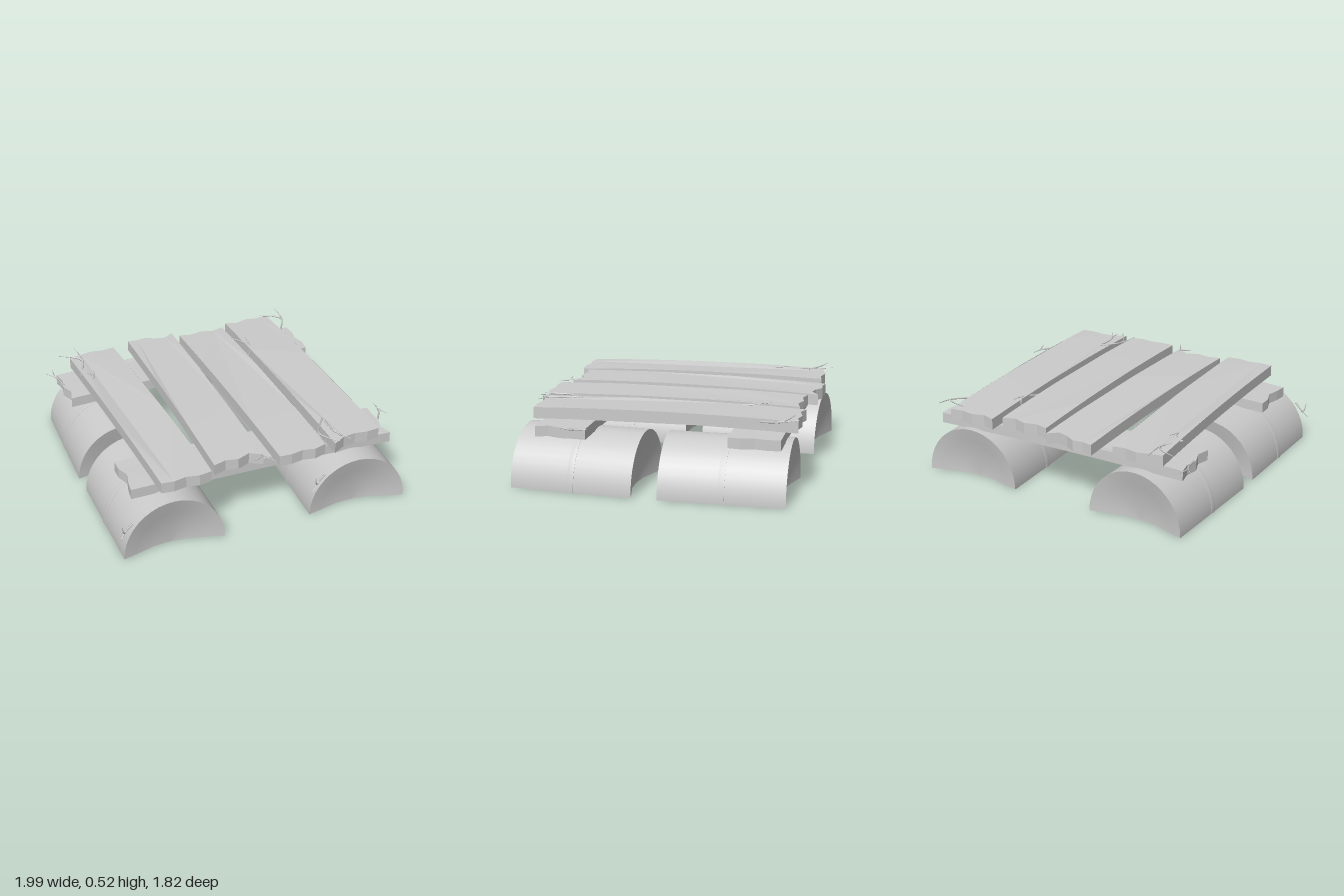
import * as THREE from 'three';

const wood = new THREE.MeshStandardMaterial({ color: 0xcccccc });
const thin = new THREE.MeshStandardMaterial({ color: 0xcccccc, side: THREE.DoubleSide });

function add(parent, geometry, name, material = wood) {
  const mesh = new THREE.Mesh(geometry, material);
  mesh.name = name;
  parent.add(mesh);
  return mesh;
}

// Half barrel lying along z: open underneath, with dished ends
function halfBarrel(parent, x, z, yaw) {
  const g = new THREE.Group();
  g.name = 'halfBarrel';
  const half = 0.4, r = 0.333;
  const turned = (profile, name) => {
    const geo = new THREE.LatheGeometry(
      profile.map(([a, b]) => new THREE.Vector2(a, b)), 20, Math.PI / 2, Math.PI);
    geo.rotateX(Math.PI / 2);
    geo.scale(1, 1.05, 1);
    add(g, geo, name, thin);
  };
  turned([[r, -half], [r, half]], 'barrelShell');
  turned([[r, -0.02], [r + 0.004, -0.02], [r + 0.004, 0.02], [r, 0.02]], 'barrelBand');
  for (const s of [-1, 1]) {
    turned([[0, s * (half - 0.07)], [0.12, s * (half - 0.06)],
      [0.24, s * (half - 0.025)], [r, s * half]], 'barrelEnd');
  }
  g.position.set(x, 0, z);
  g.rotation.y = yaw;
  parent.add(g);
}

// Splits a straight edge into equal steps, pushing the inner points in z by the jags
function edge(x0, z0, x1, z1, jags) {
  const n = jags.length + 1;
  return Array.from({ length: n + 1 }, (_, i) => new THREE.Vector2(
    x0 + (x1 - x0) * i / n,
    -(z0 + (z1 - z0) * i / n + (jags[i - 1] ?? 0))));
}

// Board along z with broken ends; each end is { x0, x1, z0, z1, jags } in a row
function board(parent, back, front, y0, y1, bow, name) {
  const [bx0, bz0, bx1, bz1] = back.line, [fx0, fz0, fx1, fz1] = front.line;
  const straight = new Array(7).fill(0);
  const outline = [
    ...edge(...back.line, back.jags),
    ...edge(bx1, bz1, fx1, fz1, straight).slice(1, -1),
    ...edge(...front.line, front.jags).reverse(),
    ...edge(fx0, fz0, bx0, bz0, straight).slice(1, -1),
  ];
  const geo = new THREE.ExtrudeGeometry(new THREE.Shape(outline),
    { depth: y1 - y0, bevelEnabled: false });
  geo.rotateX(-Math.PI / 2);
  // arch the board gently along its length
  const p = geo.attributes.position;
  for (let i = 0; i < p.count; i++) {
    p.setY(i, p.getY(i) + y0 - bow * (p.getZ(i) / 0.87) ** 2);
  }
  geo.computeVertexNormals();
  return add(parent, geo, name);
}

// Tapering tube through a curve
function sprig(parent, curve) {
  const n = 10, sides = 5;
  const geo = new THREE.TubeGeometry(curve, n, 0.007, sides);
  const p = geo.attributes.position, v = new THREE.Vector3();
  for (let i = 0; i < p.count; i++) {
    const t = Math.floor(i / (sides + 1)) / n;
    const c = curve.getPointAt(t);
    v.fromBufferAttribute(p, i).sub(c).multiplyScalar(1 - 0.75 * t).add(c);
    p.setXYZ(i, v.x, v.y, v.z);
  }
  geo.computeVertexNormals();
  add(parent, geo, 'sprig', thin);
}

// Twig from base to tip that sways sideways, with one side shoot to the fork point
function twig(parent, base, tip, fork) {
  const g = new THREE.Group();
  g.name = 'twig';
  const a = new THREE.Vector3(...base), b = new THREE.Vector3(...tip);
  const mid = a.clone().lerp(b, 0.5);
  mid.x -= (b.z - a.z) * 0.12;
  mid.z += (b.x - a.x) * 0.12;
  sprig(g, new THREE.CatmullRomCurve3([a, mid, b]));
  const f = new THREE.Vector3(...fork);
  sprig(g, new THREE.QuadraticBezierCurve3(mid, mid.clone().lerp(b, 0.35), f));
  parent.add(g);
}

export function createModel() {
  const model = new THREE.Group();
  model.name = 'raft';

  // Floats
  halfBarrel(model, -0.63, 0.49, 0);
  halfBarrel(model, 0.64, 0.495, -0.037);
  halfBarrel(model, -0.622, -0.44, -0.035);
  halfBarrel(model, 0.637, -0.447, 0.037);

  // Cross beams, shaped along z then turned to run along x
  const beam = (back, front) => {
    board(model, back, front, 0.347, 0.415, 0.012, 'crossBeam').rotation.y = Math.PI / 2;
  };
  beam({ line: [-0.75, -0.86, -0.42, -0.86], jags: [0.01, 0.03, 0] },
    { line: [-0.75, 0.915, -0.42, 0.915], jags: [-0.025, 0, -0.005] });
  beam({ line: [0.42, -0.89, 0.76, -0.9], jags: [0.025, -0.005, 0.015] },
    { line: [0.48, 0.88, 0.81, 0.875], jags: [0.01, -0.01, 0.005] });

  // Deck planks
  const plank = (back, front) => board(model, back, front, 0.435, 0.508, 0.018, 'deckPlank');
  plank({ line: [-0.785, -0.8, -0.455, -0.84], jags: [-0.01, -0.02, 0.005] },
    { line: [-0.705, 0.87, -0.375, 0.86], jags: [0.01, -0.005, 0.012] });
  plank({ line: [-0.33, -0.89, 0, -0.89], jags: [0.01, 0, 0.035, 0.05] },
    { line: [-0.335, 0.81, -0.005, 0.81], jags: [-0.025, -0.01, -0.045] });
  plank({ line: [0.04, -0.83, 0.37, -0.835], jags: [0.02, 0, 0.025] },
    { line: [0.08, 0.865, 0.405, 0.84], jags: [0.01, 0, 0.02] });
  plank({ line: [0.415, -0.885, 0.74, -0.89], jags: [0.025, 0, 0.015] },
    { line: [0.465, 0.86, 0.8, 0.8], jags: [-0.035, -0.03, -0.005] });

  // Twigs at the back of the deck
  twig(model, [-0.78, 0.49, -0.55], [-0.73, 0.515, -0.88], [-0.87, 0.515, -0.82]);
  twig(model, [-0.76, 0.49, -0.42], [-0.69, 0.507, -0.55], [-0.75, 0.505, -0.56]);
  twig(model, [0.76, 0.48, -0.66], [0.82, 0.52, -0.91], [0.66, 0.515, -0.86]);
  twig(model, [0.39, 0.48, -0.38], [0.45, 0.515, -0.6], [0.36, 0.505, -0.64]);

  // Twigs at the front of the deck
  twig(model, [-0.02, 0.49, 0.66], [0.04, 0.49, 0.91], [-0.1, 0.49, 0.85]);
  twig(model, [0.51, 0.5, 0.57], [0.4, 0.49, 0.87], [0.5, 0.5, 0.86]);
  twig(model, [0.51, 0.5, 0.6], [0.58, 0.495, 0.85], [0.53, 0.5, 0.84]);

  // Twigs at the beam ends
  twig(model, [-0.89, 0.4, -0.6], [-0.97, 0.415, -0.79], [-0.91, 0.415, -0.82]);
  twig(model, [0.92, 0.4, 0.57], [0.97, 0.415, 0.39], [0.995, 0.415, 0.55]);

  // Matching twigs on the front rims of both front barrels
  for (const [x, y] of [[-0.9, 0.2], [0.39, 0.235]]) {
    twig(model, [x, y + 0.05, 0.88], [x - 0.09, y - 0.05, 0.9], [x - 0.07, y + 0.05, 0.9]);
  }
  return model;
}
